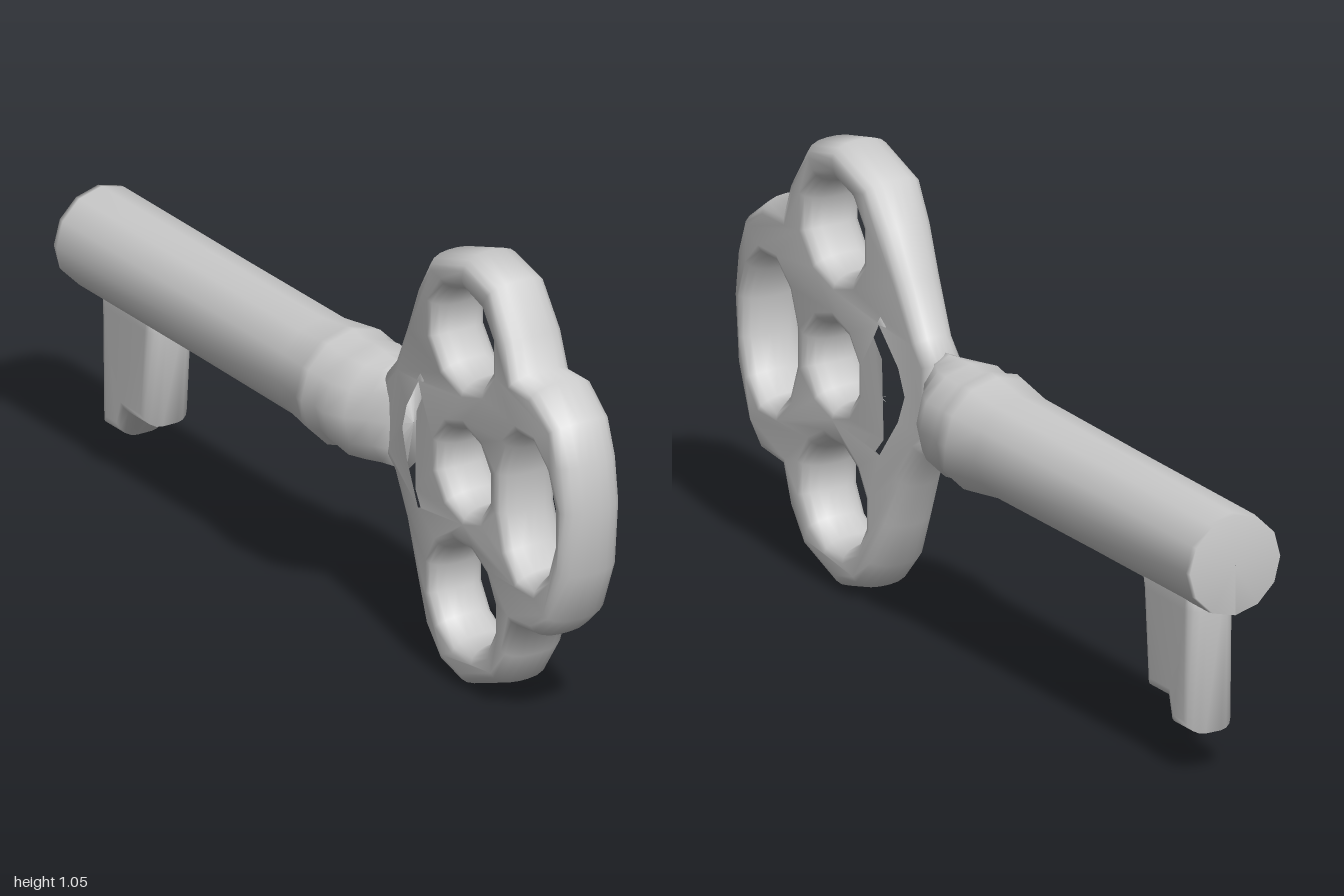
import * as THREE from 'three';
import { mergeVertices } from 'three/addons/utils/BufferGeometryUtils.js';

const material = new THREE.MeshStandardMaterial({ color: 0xcccccc });
const AXIS_Y = 0.54;

const toPoints = (pairs) => pairs.map(([z, y]) => new THREE.Vector2(z, y));

// Polygonal oval in the (z, y) plane
function oval(z, y, rz, ry, sides) {
  const points = [];
  for (let i = 0; i < sides; i++) {
    const a = ((i + 0.5) / sides) * Math.PI * 2;
    points.push(new THREE.Vector2(z + rz * Math.cos(a), y + ry * Math.sin(a)));
  }
  return points;
}

// Rounded plate lying in the (z, y) plane, centred on x = 0
function roundedPlate(outline, holes, halfWidth, bevelThickness, bevelSize, widthAt = () => 1) {
  const shape = new THREE.Shape(outline);
  shape.holes = holes.map((points) => new THREE.Path(points));
  const depth = 2 * (halfWidth - bevelThickness);
  let geometry = new THREE.ExtrudeGeometry(shape, {
    depth, bevelEnabled: true, bevelThickness, bevelSize, bevelOffset: -bevelSize, bevelSegments: 4,
  });
  geometry.translate(0, 0, -depth / 2);
  geometry.rotateY(-Math.PI / 2);
  const p = geometry.attributes.position;
  for (let i = 0; i < p.count; i++) p.setX(i, p.getX(i) * widthAt(p.getZ(i)));
  geometry.deleteAttribute('uv');
  geometry.deleteAttribute('normal');
  geometry = mergeVertices(geometry, 1e-4);
  geometry.computeVertexNormals();
  return geometry;
}

function addMesh(group, name, geometry) {
  const mesh = new THREE.Mesh(geometry, material);
  mesh.name = name;
  group.add(mesh);
}

export function createModel() {
  const key = new THREE.Group();
  key.name = 'key';

  // Bow: three-lobed handle pierced by round openings
  const bowOutline = toPoints([
    [0.2, 0.64], [0.245, 0.69], [0.305, 0.81], [0.36, 0.92], [0.42, 1.01], [0.57, 1.06],
    [0.69, 1.03], [0.76, 0.92], [0.785, 0.845], [0.86, 0.845], [0.95, 0.78], [0.985, 0.69],
    [1.0, 0.58], [0.985, 0.42], [0.93, 0.29], [0.87, 0.235], [0.785, 0.225], [0.76, 0.145],
    [0.705, 0.06], [0.56, 0.005], [0.465, 0.03], [0.4, 0.1], [0.35, 0.21], [0.3, 0.32],
    [0.245, 0.41], [0.2, 0.45],
  ]);
  const forkOpening = toPoints([
    [0.262, 0.54], [0.29, 0.62], [0.385, 0.735], [0.44, 0.655], [0.405, 0.6],
    [0.4, 0.43], [0.44, 0.375], [0.37, 0.335], [0.29, 0.46],
  ]);
  const openings = [
    oval(0.565, 0.86, 0.112, 0.108, 10),
    oval(0.565, 0.225, 0.118, 0.118, 12),
    oval(0.83, 0.535, 0.097, 0.17, 12),
    oval(0.57, 0.535, 0.093, 0.093, 10),
    forkOpening,
  ];
  // The handle is slimmer where its arms meet the shaft
  const bowWidth = (z) => 0.68 + 0.32 * THREE.MathUtils.smoothstep(z, 0.25, 0.45)
    + 0.12 * THREE.MathUtils.smoothstep(z, 0.65, 0.82) - 0.1 * THREE.MathUtils.smoothstep(z, 0.85, 1);
  addMesh(key, 'bow', roundedPlate(bowOutline, openings, 0.074, 0.062, 0.033, bowWidth));

  // Shaft with collar, narrowing sideways where it joins the bow
  const profile = [
    [0.001, -1], [0.119, -1], [0.121, -0.985], [0.121, -0.5], [0.123, -0.1], [0.138, 0],
    [0.142, 0.03], [0.13, 0.065], [0.137, 0.11], [0.132, 0.16], [0.13, 0.2], [0.13, 0.24], [0.001, 0.27],
  ].map(([r, z]) => new THREE.Vector2(r, z));
  const shaft = new THREE.LatheGeometry(profile, 12);
  shaft.rotateX(Math.PI / 2);
  const p = shaft.attributes.position;
  for (let i = 0; i < p.count; i++) {
    const z = p.getZ(i);
    p.setX(i, p.getX(i) * (1 - 0.62 * THREE.MathUtils.smoothstep(z, 0.12, 0.25)) - 0.005);
  }
  shaft.translate(0, AXIS_Y - 0.01, 0);
  shaft.computeVertexNormals();
  addMesh(key, 'shaft', shaft);

  // Bit: stepped tooth under the far end
  const bitOutline = toPoints([
    [-0.69, 0.46], [-0.7, 0.4], [-0.718, 0.165], [-0.805, 0.165], [-0.82, 0.108],
    [-0.915, 0.108], [-0.92, 0.4], [-0.925, 0.46],
  ]);
  addMesh(key, 'bit', roundedPlate(bitOutline, [], 0.06, 0.04, 0.03));

  return key;
}
